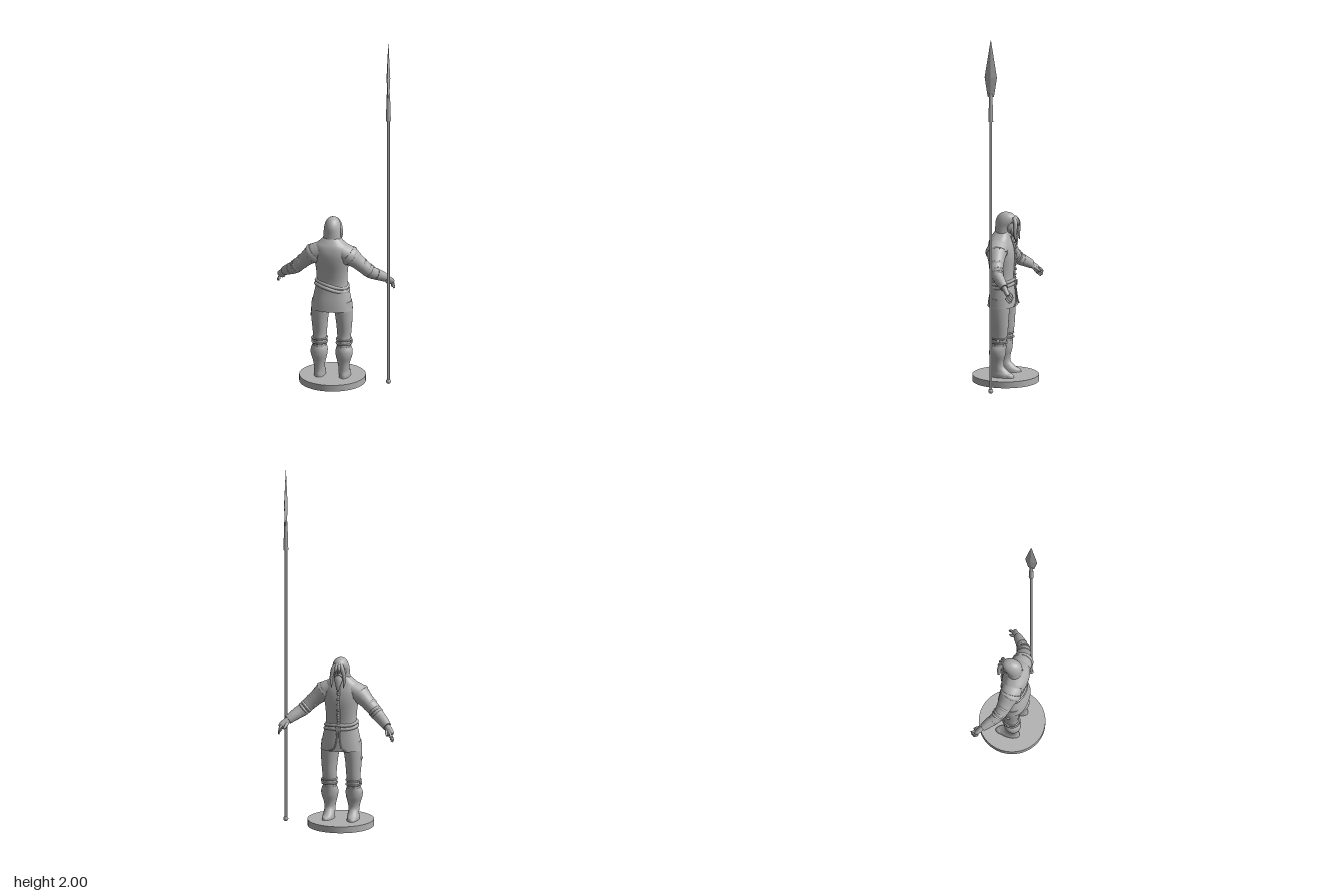
import * as THREE from 'three';

const stone = new THREE.MeshStandardMaterial({ color: 0xb0b0b0 });
stone.name = 'stone grey';
const V = (x, y, z) => new THREE.Vector3(x, y, z);

// Smooth skin over elliptical sections [x, y, z, ru, rv]; level keeps every section horizontal.
function loft(sections, { level = false, sides = 24, steps = 4, power = 2 } = {}) {
  const path = new THREE.CatmullRomCurve3(sections.map(s => V(s[0], s[1], s[2])), false, 'catmullrom');
  const size = new THREE.CatmullRomCurve3(sections.map(s => V(s[3], s[4] ?? s[3], 0)), false, 'catmullrom');
  const rows = (sections.length - 1) * steps, pos = [], idx = [];
  for (let i = 0; i <= rows; i++) {
    const c = path.getPoint(i / rows), r = size.getPoint(i / rows);
    const t = level ? V(0, 1, 0) : path.getTangent(i / rows);
    const u = V(0, 0, 1).cross(t).normalize(), v = t.clone().cross(u);
    for (let j = 0; j < sides; j++) {
      const a = j / sides * Math.PI * 2, e = 2 / power;
      const cu = Math.sign(Math.cos(a)) * Math.abs(Math.cos(a)) ** e;
      const sv = Math.sign(Math.sin(a)) * Math.abs(Math.sin(a)) ** e;
      pos.push(...c.clone().addScaledVector(u, cu * r.x).addScaledVector(v, sv * r.y).toArray());
    }
  }
  for (let i = 0; i < rows; i++) for (let j = 0; j < sides; j++) {
    const k = (j + 1) % sides, a = i * sides + j, b = i * sides + k;
    idx.push(a, b, b + sides, a, b + sides, a + sides);
  }
  // end caps with their own vertices
  for (const end of [0, rows]) {
    const first = pos.length / 3, ring = pos.slice(end * sides * 3, (end + 1) * sides * 3);
    pos.push(...ring, ...path.getPoint(end ? 1 : 0).toArray());
    for (let j = 0; j < sides; j++) {
      const a = first + j, b = first + (j + 1) % sides;
      idx.push(first + sides, ...(end ? [a, b] : [b, a]));
    }
  }
  const g = new THREE.BufferGeometry();
  g.setAttribute('position', new THREE.Float32BufferAttribute(pos, 3));
  g.setIndex(idx);
  g.computeVertexNormals();
  return g;
}

export function createModel() {
  const model = new THREE.Group();
  const add = (name, geo, x = 0, y = 0, z = 0, parent = model) => {
    const m = new THREE.Mesh(geo, stone);
    m.name = name;
    m.position.set(x, y, z);
    parent.add(m);
    return m;
  };
  const ball = (name, x, y, z, rx, ry, rz) =>
    add(name, new THREE.SphereGeometry(1, 16, 12), x, y, z).scale.set(rx, ry, rz);

  // Round base
  add('base', new THREE.CylinderGeometry(0.183, 0.183, 0.036, 40), 0, 0.018, 0);

  // Jacket with flared skirt; the figure looks towards -z
  add('jacket', loft([
    [0, 0.43, 0.015, 0.115, 0.08], [0, 0.48, 0.014, 0.107, 0.074], [0, 0.54, 0.012, 0.095, 0.064],
    [0, 0.59, 0.012, 0.085, 0.059], [0, 0.65, 0.014, 0.087, 0.064], [0, 0.71, 0.018, 0.095, 0.071],
    [0, 0.76, 0.023, 0.1, 0.07], [0, 0.8, 0.026, 0.091, 0.06], [0, 0.825, 0.022, 0.065, 0.05],
    [0, 0.845, 0.016, 0.044, 0.042]], { level: true, sides: 40, power: 2.3 }));

  // Belt and sash, dropping diagonally across the back
  const band = (name, y, r, grow) => {
    const pts = [];
    for (let i = 0; i < 24; i++) {
      const a = i / 24 * Math.PI * 2, c = Math.cos(a), s = Math.sin(a);
      pts.push(V(c * (0.09 + grow), y - 0.026 * c * (1 + s) / 2, 0.012 + s * (0.061 + grow)));
    }
    add(name, new THREE.TubeGeometry(new THREE.CatmullRomCurve3(pts, true), 64, r, 8, true));
  };
  band('sash', 0.575, 0.01, -0.003);
  band('belt', 0.555, 0.01, 0);
  add('buckle', new THREE.BoxGeometry(0.028, 0.03, 0.01), 0, 0.558, -0.059);

  // Front closure with buttons, and rounded skirt flaps below the belt
  add('frontSeam', loft([[0, 0.57, -0.048, 0.008, 0.006], [0, 0.65, -0.051, 0.008, 0.006],
    [0, 0.72, -0.054, 0.008, 0.006], [0, 0.77, -0.048, 0.008, 0.006], [0, 0.82, -0.032, 0.008, 0.006]], { sides: 10 }));
  for (let i = 0; i < 7; i++) {
    const y = 0.605 + i * 0.03;
    ball('button', 0, y, y > 0.76 ? -0.053 + (y - 0.76) * 0.3 : -0.055 - 0.006 * Math.sin((y - 0.6) * 18), 0.008, 0.006, 0.006);
  }
  for (const s of [1, -1]) {
    add('skirtFlapEdge', loft([[s * 0.006, 0.55, -0.054, 0.004], [s * 0.01, 0.49, -0.061, 0.004],
      [s * 0.022, 0.45, -0.064, 0.004], [s * 0.05, 0.432, -0.062, 0.004]], { sides: 8 }));
  }

  // Head, hood and collar
  add('neck', loft([[0, 0.8, 0.01, 0.042, 0.04], [0, 0.87, -0.002, 0.032, 0.034]], { level: true }));
  ball('face', 0, 0.882, -0.016, 0.035, 0.055, 0.04);
  add('hood', loft([
    [0, 0.815, 0.02, 0.05, 0.04], [0, 0.84, 0.017, 0.049, 0.042], [0, 0.875, 0.012, 0.047, 0.045],
    [0, 0.905, 0.001, 0.045, 0.054], [0, 0.93, -0.005, 0.037, 0.049], [0, 0.947, -0.004, 0.022, 0.03],
    [0, 0.954, -0.003, 0.003, 0.004]], { level: true }));
  ball('nose', 0, 0.882, -0.056, 0.007, 0.014, 0.013);
  ball('brow', 0, 0.902, -0.046, 0.03, 0.008, 0.012);

  // Fringe, hanging locks, moustache and pointed beard
  add('beard', loft([[0, 0.77, -0.064, 0.003], [0, 0.81, -0.059, 0.015, 0.012], [0, 0.84, -0.047, 0.024, 0.02],
    [0, 0.865, -0.038, 0.024, 0.016]], { level: true, sides: 16 }));
  for (const s of [1, -1]) {
    add('hairLock', loft([[s * 0.012, 0.925, -0.05, 0.012, 0.01], [s * 0.025, 0.9, -0.063, 0.013, 0.011],
      [s * 0.035, 0.865, -0.064, 0.01, 0.011], [s * 0.037, 0.83, -0.064, 0.008],
      [s * 0.033, 0.795, -0.071, 0.002]], { sides: 10 }));
    add('fringe', loft([[s * 0.004, 0.925, -0.048, 0.012], [s * 0.008, 0.908, -0.066, 0.01],
      [s * 0.012, 0.88, -0.08, 0.002]], { sides: 10 }));
    add('moustache', loft([[0, 0.868, -0.058, 0.006], [s * 0.014, 0.862, -0.054, 0.006],
      [s * 0.024, 0.845, -0.052, 0.002]], { sides: 8 }));
    ball('eye', s * 0.014, 0.89, -0.051, 0.006, 0.004, 0.005);
  }

  for (const s of [1, -1]) {
    // Sleeve, shoulder seam and forearm cuff
    add('sleeve', loft([
      [s * 0.055, 0.775, 0.026, 0.045, 0.055], [s * 0.1, 0.745, 0.024, 0.053, 0.056],
      [s * 0.14, 0.712, 0.015, 0.042, 0.045], [s * 0.18, 0.674, 0.005, 0.037, 0.038],
      [s * 0.21, 0.645, -0.01, 0.036, 0.034], [s * 0.24, 0.624, -0.032, 0.031, 0.028],
      [s * 0.265, 0.607, -0.054, 0.025, 0.022]]));
    add('vestArmhole', loft([[s * 0.088, 0.756, 0.026, 0.053, 0.058], [s * 0.101, 0.744, 0.025, 0.058, 0.06],
      [s * 0.108, 0.738, 0.023, 0.053, 0.056]]));
    add('cuff', loft([[s * 0.235, 0.628, -0.028, 0.033, 0.031], [s * 0.26, 0.611, -0.05, 0.029, 0.026],
      [s * 0.282, 0.594, -0.069, 0.025, 0.021]]));
    [[0.165, 0.69, 0.009, 0.041], [0.195, 0.66, -0.003, 0.039], [0.208, 0.648, -0.009, 0.038]].forEach(([x, y, z, r]) =>
      add('sleeveFold', loft([[s * (x - 0.007), y + 0.006, z + 0.003, r - 0.006], [s * x, y, z, r],
        [s * (x + 0.007), y - 0.006, z - 0.003, r - 0.006]])));

    // Open hand with four curled fingers and a thumb
    add('palm', loft([[s * 0.274, 0.6, -0.062, 0.016], [s * 0.291, 0.584, -0.078, 0.02, 0.014],
      [s * 0.304, 0.566, -0.093, 0.024, 0.013], [s * 0.31, 0.556, -0.1, 0.02, 0.009]], { sides: 16 }));
    for (let f = 0; f < 4; f++) {
      const d = f - 1.5, len = 1 - 0.12 * Math.abs(d - 0.2);
      const x = 0.309 + d * 0.003, y = 0.558 - d * 0.009, z = -0.097 + d * 0.006;
      add('finger', loft([[s * x, y, z, 0.0065], [s * (x + 0.009), y - 0.012 * len, z - 0.012 * len, 0.0065],
        [s * (x + 0.01), y - 0.021 * len, z - 0.021 * len, 0.0055],
        [s * (x + 0.007), y - 0.028 * len, z - 0.029 * len, 0.003]], { sides: 8 }));
    }
    add('thumb', loft([[s * 0.284, 0.585, -0.076, 0.009], [s * 0.285, 0.572, -0.096, 0.008],
      [s * 0.289, 0.561, -0.11, 0.007], [s * 0.293, 0.553, -0.119, 0.003]], { sides: 8 }));

    // Trousered leg, baggy over the boot
    const x = s * 0.068;
    add('trouserLeg', loft([
      [x, 0.17, 0.026, 0.037, 0.04], [x, 0.25, 0.018, 0.037, 0.042], [x, 0.29, 0.014, 0.039, 0.044],
      [x, 0.36, 0.016, 0.045, 0.051], [x * 0.94, 0.43, 0.017, 0.051, 0.056],
      [x * 0.9, 0.48, 0.016, 0.05, 0.055]], { level: true }));
    add('boot', loft([
      [x * 1.02, 0.036, 0.002, 0.032, 0.066], [x * 1.02, 0.052, 0.005, 0.032, 0.062],
      [x, 0.07, 0.016, 0.03, 0.047], [x, 0.095, 0.027, 0.03, 0.036], [x, 0.125, 0.029, 0.035, 0.037],
      [x * 1.02, 0.16, 0.028, 0.045, 0.045], [x * 1.02, 0.19, 0.026, 0.047, 0.046],
      [x, 0.215, 0.021, 0.039, 0.043]], { level: true }));
    add('toe', loft([[x * 1.1, 0.036, -0.035, 0.022, 0.034], [x * 1.1, 0.05, -0.033, 0.021, 0.03],
      [x * 1.08, 0.062, -0.022, 0.012, 0.016]], { level: true, sides: 16 }));

    // Garters with knots on the outer side
    for (const [y, r] of [[0.232, 0.041], [0.255, 0.04]]) {
      const strap = add('garter', new THREE.TorusGeometry(r, 0.005, 8, 28), x, y, 0.02);
      strap.rotation.x = Math.PI / 2;
      strap.scale.y = 1.1;
    }
    ball('garterKnot', s * 0.109, 0.245, 0.015, 0.007, 0.012, 0.01);
  }
  ball('thighKnot', -0.114, 0.385, 0.015, 0.007, 0.01, 0.012);

  // Spear: butt, shaft, socket and diamond-section blade
  const spear = new THREE.Group();
  spear.name = 'spear';
  spear.position.x = 0.312;
  model.add(spear);
  add('spearButt', new THREE.SphereGeometry(0.014, 12, 8), 0, 0.014, 0, spear);
  add('spearShaft', new THREE.CylinderGeometry(0.008, 0.008, 1.54, 12), 0, 0.79, 0, spear);
  add('spearSocket', new THREE.CylinderGeometry(0.009, 0.014, 0.16, 12), 0, 1.62, 0, spear);
  const blade = new THREE.Group();
  blade.name = 'spearBlade';
  blade.scale.x = 0.3;
  spear.add(blade);
  for (const [top, bottom, h, y] of [[0.035, 0.018, 0.11, 1.735], [0.001, 0.035, 0.21, 1.895]]) {
    const g = new THREE.CylinderGeometry(top, bottom, h, 4, 1, true).toNonIndexed();
    g.computeVertexNormals();
    add('bladeFacet', g, 0, y, 0, blade);
  }
  return model;
}
